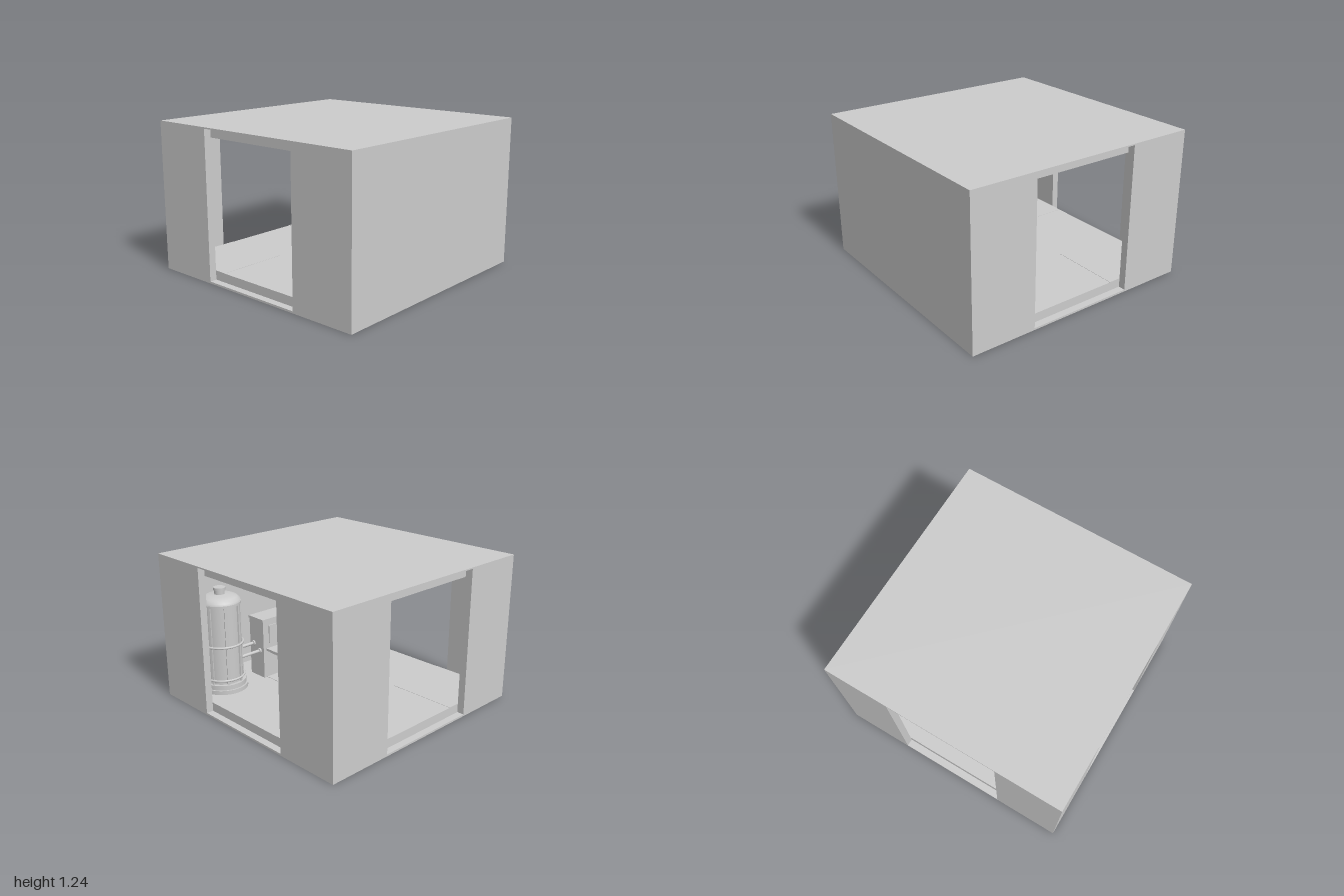
import * as THREE from 'three';

const mat = new THREE.MeshStandardMaterial({ color: 0xcccccc, side: THREE.DoubleSide });

function add(parent, name, geo, x = 0, y = 0, z = 0) {
  const m = new THREE.Mesh(geo, mat);
  m.name = name;
  m.position.set(x, y, z);
  parent.add(m);
  return m;
}

// Box given by its min and max on each axis
function span(parent, name, x0, x1, y0, y1, z0, z1) {
  return add(parent, name, new THREE.BoxGeometry(x1 - x0, y1 - y0, z1 - z0),
    (x0 + x1) / 2, (y0 + y1) / 2, (z0 + z1) / 2);
}

function rect(x0, y0, x1, y1, Type = THREE.Shape) {
  const s = new Type();
  s.moveTo(x0, y0); s.lineTo(x1, y0); s.lineTo(x1, y1); s.lineTo(x0, y1); s.closePath();
  return s;
}

const H = 1.235, SLAB = 0.015, WALL = 0.06, IN = 1 - WALL, OPEN = 0.455;
const FLOOR = 0.09, CEIL = 1.15;

// Wall panel with a wide opening, lying in the xy plane
function openWall(half) {
  const s = rect(-half, SLAB, half, H - 0.01);
  s.holes.push(rect(-OPEN, SLAB + 0.001, OPEN, H - 0.011, THREE.Path));
  return new THREE.ExtrudeGeometry(s, { depth: WALL, bevelEnabled: false });
}

// Ribbed tank with stepped foot, domed top and neck
function tank() {
  const g = new THREE.Group();
  g.name = 'tank';
  const lathe = (name, pts) => {
    const geo = new THREE.LatheGeometry(pts.map(p => new THREE.Vector2(...p)), 32);
    return add(g, name, geo);
  };
  const cyl = (name, r, y0, y1) =>
    add(g, name, new THREE.CylinderGeometry(r, r, y1 - y0, 32), 0, (y0 + y1) / 2, 0);
  cyl('footLower', 0.2, FLOOR, 0.125);
  cyl('footUpper', 0.186, 0.125, 0.165);
  cyl('body', 0.16, 0.165, 0.84);
  lathe('dome', [[0.17, 0.84], [0.165, 0.862], [0.14, 0.885], [0.1, 0.9], [0, 0.908]]);
  cyl('topBand', 0.17, 0.825, 0.845);
  cyl('neck', 0.042, 0.89, 0.945);
  cyl('neckCap', 0.05, 0.94, 0.96);
  for (const y of [0.2, 0.49]) {
    add(g, 'hoop', new THREE.TorusGeometry(0.172, 0.01, 8, 32), 0, y, 0).rotation.x = Math.PI / 2;
  }
  for (let i = 0; i < 8; i++) {
    const a = (i + 0.5) * Math.PI / 4;
    const rib = add(g, 'rib', new THREE.BoxGeometry(0.018, 0.66, 0.02),
      Math.sin(a) * 0.162, 0.495, Math.cos(a) * 0.162);
    rib.rotation.y = a;
  }
  return g;
}

// Ceiling light: raised frame around a shallow panel
function light(x, z, w, d) {
  const g = new THREE.Group();
  g.name = 'ceilingLight';
  const s = rect(-w / 2, -d / 2, w / 2, d / 2);
  s.holes.push(rect(-w / 2 + 0.02, -d / 2 + 0.02, w / 2 - 0.02, d / 2 - 0.02, THREE.Path));
  const frame = new THREE.ExtrudeGeometry(s, { depth: 0.02, bevelEnabled: false });
  frame.rotateX(Math.PI / 2);
  add(g, 'lightFrame', frame, 0, CEIL, 0);
  add(g, 'lightPanel', new THREE.BoxGeometry(w - 0.04, 0.006, d - 0.04), 0, CEIL - 0.003, 0);
  g.position.set(x, 0, z);
  return g;
}

export function createModel() {
  const root = new THREE.Group();
  root.name = 'machineRoom';

  // Shell
  span(root, 'baseSlab', -1, 1, 0, SLAB, -1, 1);
  span(root, 'roofSlab', -1, 1, H - 0.01, H, -1, 1);
  span(root, 'floor', -IN, IN, SLAB, FLOOR, -IN, IN);
  span(root, 'ceiling', -IN, IN, CEIL, H - 0.01, -IN, IN);
  span(root, 'frontWall', -1, 1, SLAB, H - 0.01, IN, 1);
  add(root, 'backWall', openWall(1), 0, 0, -1);
  for (const side of [-1, 1]) {
    const wall = add(root, 'sideWall', openWall(IN), side === 1 ? IN : -1, 0, 0);
    wall.rotation.y = Math.PI / 2;
  }

  // Ceiling lights
  for (const s of [-1, 1]) {
    root.add(light(0, s * 0.485, 0.6, 0.13));
    root.add(light(s * 0.49, 0, 0.13, 0.58));
  }

  for (const s of [-1, 1]) {
    // Thin corner floor plates
    span(root, 'floorPlate', Math.min(s * 0.35, s * IN), Math.max(s * 0.35, s * IN),
      FLOOR, FLOOR + 0.002, -IN, -0.35);

    // Tanks in the front corners
    const t = tank();
    t.position.set(s * 0.67, 0, 0.66);
    root.add(t);

    // Pipes from each tank to the cabinet
    for (const [y, z] of [[0.38, 0.67], [0.33, 0.59]]) {
      const pipe = add(root, 'pipe', new THREE.CylinderGeometry(0.014, 0.014, 0.24, 12), s * 0.42, y, z);
      pipe.rotation.z = Math.PI / 2;
      const flange = add(root, 'pipeFlange', new THREE.CylinderGeometry(0.024, 0.024, 0.015, 12), s * 0.338, y, z);
      flange.rotation.z = Math.PI / 2;
    }
  }

  // Control cabinet with desk
  span(root, 'cabinet', -0.33, 0.33, FLOOR, 0.6, 0.54, 0.72);
  span(root, 'cabinetTop', -0.335, 0.335, 0.6, 0.62, 0.535, 0.725);
  span(root, 'controlPanel', -0.27, 0.27, 0.4, 0.56, 0.53, 0.54);
  span(root, 'deskTop', -0.3, 0.3, 0.335, 0.355, 0.295, 0.54);
  span(root, 'deskTray', -0.26, 0.26, 0.305, 0.335, 0.285, 0.54);
  for (const s of [-1, 1]) {
    add(root, 'deskLeg', new THREE.BoxGeometry(0.014, 0.215, 0.014), s * 0.24, 0.1975, 0.31);
  }
  span(root, 'floorMat', -0.3, 0.3, FLOOR, FLOOR + 0.003, 0.09, 0.54);

  // Seat in front of the desk
  const seat = new THREE.Group();
  seat.name = 'seat';
  root.add(seat);
  span(seat, 'seatBase', -0.07, 0.07, FLOOR, 0.175, 0.13, 0.275);
  span(seat, 'seatCushion', -0.08, 0.08, 0.185, 0.225, 0.125, 0.28);
  span(seat, 'seatStem', -0.06, 0.06, 0.175, 0.185, 0.14, 0.265);
  span(seat, 'seatBack', -0.08, -0.055, 0.225, 0.38, 0.125, 0.28);
  return root;
}
